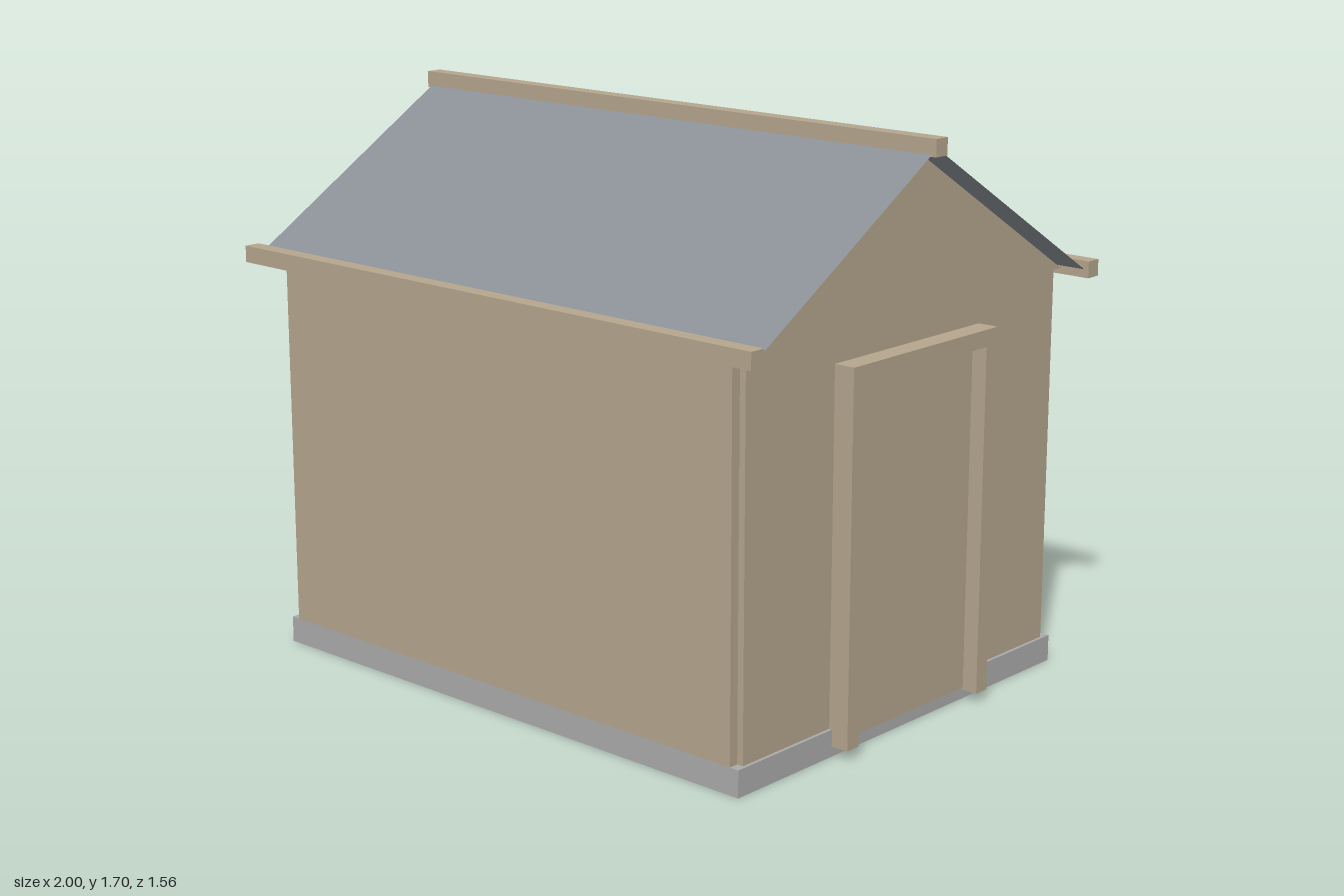
import * as THREE from 'three';

const material = (name, color, side = THREE.FrontSide) => {
  const m = new THREE.MeshStandardMaterial({ color, side });
  m.name = name;
  return m;
};

export function createModel() {
  const model = new THREE.Group();
  model.name = 'shed';
  const timber = material('timber', 0xb4a58d);
  const stone = material('stone', 0xaaaaaa);
  const slate = material('slate', 0x899096, THREE.DoubleSide);

  const add = (name, geometry, mat) => {
    const mesh = new THREE.Mesh(geometry, mat);
    mesh.name = name;
    model.add(mesh);
    return mesh;
  };
  // Box given by its lower and upper limits on each axis
  const box = (name, mat, [x0, x1], [y0, y1], [z0, z1]) =>
    add(name, new THREE.BoxGeometry(x1 - x0, y1 - y0, z1 - z0), mat)
      .position.set((x0 + x1) / 2, (y0 + y1) / 2, (z0 + z1) / 2);
  // Outline in (z, y), extruded along x from x0 to x1
  const slab = (name, points, x0, x1) => {
    const shape = new THREE.Shape(points.map(([z, y]) => new THREE.Vector2(-z, y)));
    const geometry = new THREE.ExtrudeGeometry(shape, { depth: x1 - x0, bevelEnabled: false });
    geometry.rotateY(Math.PI / 2).translate(x0, 0, 0);
    add(name, geometry, timber);
  };

  // Foundation and walls, with small notches left at the four corners
  box('foundation', stone, [-0.915, 0.915], [0, 0.08], [-0.72, 0.72]);
  box('longWalls', timber, [-0.885, 0.885], [0.08, 1.22], [-0.72, 0.72]);
  box('endWalls', timber, [-0.905, 0.905], [0.08, 1.22], [-0.69, 0.69]);

  // Triangular gables, just proud of the end walls
  for (const [name, x] of [['leftGable', 0.87], ['rightGable', -0.91]]) {
    slab(name, [[0.72, 1.22], [0, 1.66], [-0.72, 1.22]], x, x + 0.04);
  }

  // Thin roof sheets and eave beams on both long sides
  const run = 0.73, rise = 0.445;
  for (const [side, s] of [['front', 1], ['back', -1]]) {
    const sheet = new THREE.PlaneGeometry(1.97, Math.hypot(run, rise));
    sheet.rotateX(-Math.atan2(run, rise)).translate(0, 1.225 + rise / 2, run / 2);
    if (s < 0) sheet.rotateY(Math.PI);
    add(side + 'Roof', sheet, slate);
    box(side + 'EaveBeam', timber, [-1, 1], [1.2, 1.25], s > 0 ? [0.73, 0.78] : [-0.78, -0.73]);
  }
  box('ridgeBeam', timber, [-1, 1], [1.65, 1.7], [-0.025, 0.025]);

  // Door and its deep frame on the left end
  box('door', timber, [0.9, 0.925], [0.04, 1.055], [-0.27, 0.27]);
  slab('doorFrame', [
    [0.325, 0.03], [0.325, 1.12], [-0.325, 1.12], [-0.325, 0.03],
    [-0.275, 0.03], [-0.275, 1.07], [0.275, 1.07], [0.275, 0.03],
  ], 0.9, 0.97);

  return model;
}
